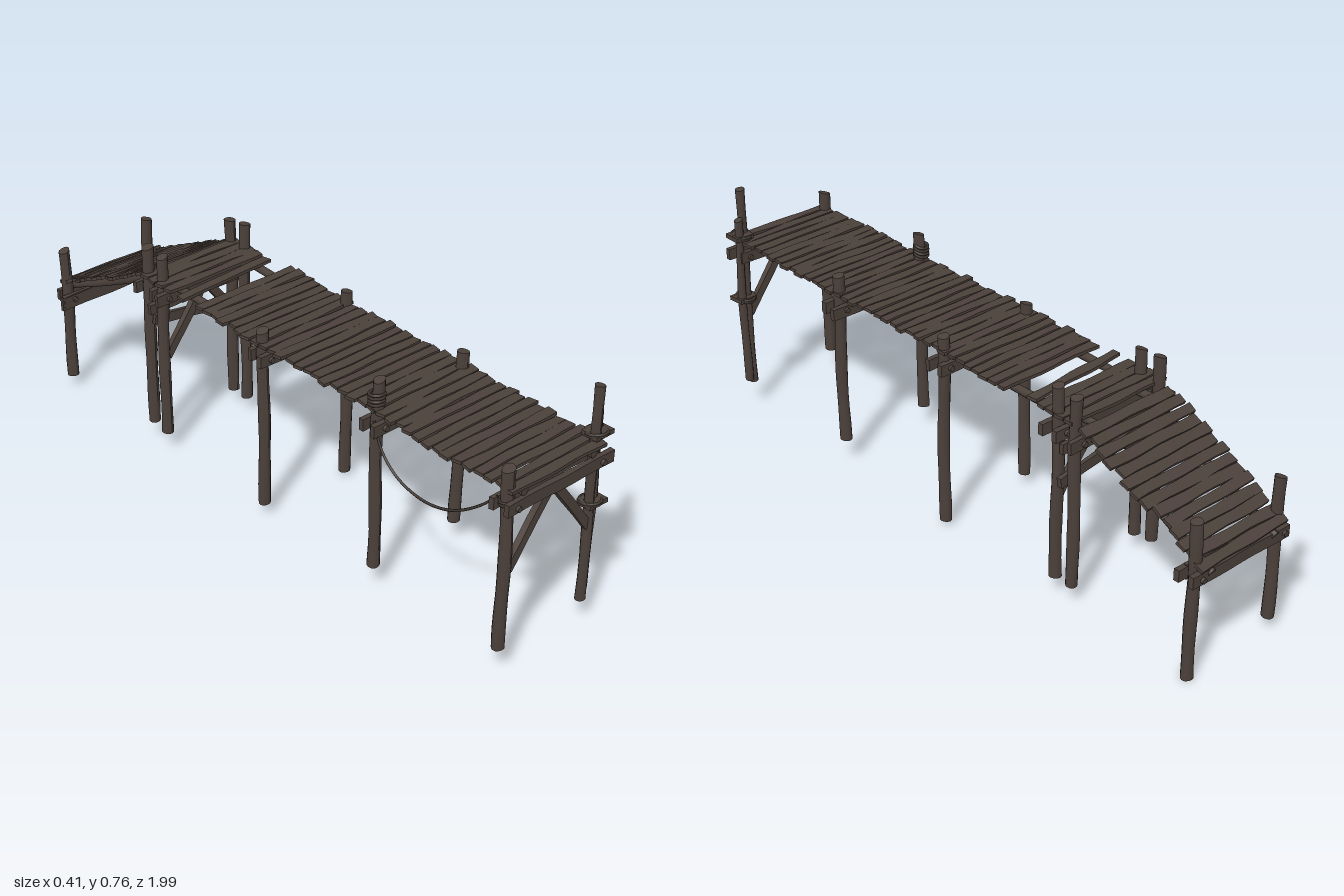
import * as THREE from 'three';

const wood = new THREE.MeshStandardMaterial({ color: 0x4b403a });
wood.name = 'weatheredWood';
const ropeMat = new THREE.MeshStandardMaterial({ color: 0x3f3630 });
ropeMat.name = 'oldRope';

let seed = 7;
const rand = () => (seed = (seed * 16807) % 2147483647) / 2147483647;
const jit = (a) => (rand() * 2 - 1) * a;
const V = (x, y, z) => new THREE.Vector3(x, y, z);

export function createModel() {
  const model = new THREE.Group();
  model.name = 'pier';

  const add = (geo, mat, name, parent = model) => {
    const m = new THREE.Mesh(geo, mat);
    m.name = name;
    parent.add(m);
    return m;
  };

  // slightly crooked round log from a to b, its far end cut at a slant
  const log = (name, a, b, r, slant = 0, parent = model) => {
    const len = a.distanceTo(b);
    const geo = new THREE.CylinderGeometry(r * 0.97, r, len, 12, 10);
    const p = geo.attributes.position;
    const s = rand() * 6, t = rand() * 6;
    for (let i = 0; i < p.count; i++) {
      let x = p.getX(i), y = p.getY(i), z = p.getZ(i);
      const th = Math.atan2(z, x);
      const k = 1 + 0.05 * Math.sin(3 * th + s + y * 9) + 0.05 * Math.sin(y * 26 + t);
      if (y > len / 2 - 1e-4) y += x * slant;
      p.setXYZ(i, x * k + 0.002 * Math.sin(y * 11 + s), y, z * k + 0.002 * Math.sin(y * 13 + t));
    }
    geo.computeVertexNormals();
    const m = add(geo, wood, name, parent);
    m.position.copy(a).lerp(b, 0.5);
    m.quaternion.setFromUnitVectors(V(0, 1, 0), b.clone().sub(a).normalize());
    return m;
  };

  // worn board: a box along x with wavering edges
  const board = (name, len, h, d, parent = model, wear = 0.0025) => {
    const geo = new THREE.BoxGeometry(len, h, d, 8, 1, 1);
    const p = geo.attributes.position;
    const s = rand() * 6, t = rand() * 6;
    for (let i = 0; i < p.count; i++) {
      const x = p.getX(i), y = p.getY(i), z = p.getZ(i);
      const side = Math.sign(z);
      p.setXYZ(i, x + Math.sign(x) * (Math.abs(x) > len * 0.49 ? side * wear * Math.sin(s) : 0),
        y + 0.0012 * Math.sin(x * 25 + s + side),
        z + wear * 0.7 * Math.sin(x * 30 + t + side * s));
    }
    geo.computeVertexNormals();
    return add(geo, wood, name, parent);
  };

  // board standing in the xy plane between two points
  const brace = (name, a, b, h, d, parent = model) => {
    const m = board(name, a.distanceTo(b), h, d, parent, 0.001);
    m.position.copy(a).lerp(b, 0.5);
    m.rotation.z = Math.atan2(b.y - a.y, b.x - a.x);
    return m;
  };

  // rope wound around a post
  const coil = (x, y, z, r, turns, pitch) => {
    const pts = [];
    for (let i = 0; i <= turns * 12; i++) {
      const a = (i / 12) * Math.PI * 2;
      pts.push(V(x + r * Math.cos(a), y + (i / 12) * pitch + 0.005 * Math.sin(a), z + r * Math.sin(a)));
    }
    add(new THREE.TubeGeometry(new THREE.CatmullRomCurve3(pts), turns * 20, 0.0045, 6), ropeMat, 'ropeCoil');
  };

  // trestles: z, then bottom and top of the -x and +x posts, and beam height
  const trestles = [
    { z: 0.96, r: [0.08, 0.645], l: [0.08, 0.755], beam: 0.537, braced: true },
    { z: 0.48, r: [0.075, 0.675], l: [0.08, 0.64], beam: 0.54 },
    { z: 0.015, r: [0.04, 0.62], l: [0.015, 0.63], beam: 0.54 },
    { z: -0.45, r: [0.06, 0.665], l: [0.06, 0.67], beam: 0.54, braced: true },
    { z: -0.515, r: [0.07, 0.67], l: [0.06, 0.66], beam: 0.535, single: true },
    { z: -0.95, r: [0.04, 0.49], l: [0, 0.495], beam: 0.33 },
  ];
  for (const t of trestles) {
    const g = new THREE.Group();
    g.name = 'trestle';
    model.add(g);
    const front = t.z > 0.9;
    log('postRight', V(-0.162, t.r[0], t.z), V(-0.162 + jit(0.004), t.r[1], t.z + jit(0.004)), 0.018, 0.3, g);
    log('postLeft', V(0.154, t.l[0], t.z), V(0.154 + jit(0.003), t.l[1], t.z + jit(0.004)), front ? 0.0145 : 0.018, -0.15, g);
    for (const s of t.single ? [-1] : [1, -1]) {
      const b = board('crossBeam', 0.385 + jit(0.015), 0.036, 0.016, g, 0.001);
      b.position.set(jit(0.006), t.beam + jit(0.004), t.z + s * 0.025);
      b.rotation.z = jit(0.015);
      for (const x of [-0.16, 0.155]) {
        const bolt = add(new THREE.CylinderGeometry(0.008, 0.009, 0.01, 10), wood, 'bolt', g);
        bolt.rotation.x = s * Math.PI / 2;
        bolt.position.set(x, t.beam, t.z + s * 0.036);
      }
    }
    if (t.braced) {
      for (const s of [-1, 1])
        brace('diagonalBrace', V(s * 0.004, t.beam - 0.012, t.z), V(s * 0.152, 0.325, t.z), 0.026, 0.018, g);
    }
  }

  // extra boards on the rear trestles and the low ramp beam
  brace('tieBeam', V(-0.19, 0.487, -0.478), V(0.17, 0.493, -0.478), 0.032, 0.014);
  brace('slippedBeam', V(-0.17, 0.446, -0.483), V(0.18, 0.392, -0.483), 0.032, 0.014);
  brace('rampEndBeam', V(-0.205, 0.322, -0.925), V(0.16, 0.328, -0.925), 0.045, 0.012);

  // second post lashed to the front left corner
  log('lashedPost', V(0.18, 0.1, 0.945), V(0.182, 0.665, 0.945), 0.013, -0.3);
  for (const y of [0.385, 0.6]) {
    const lash = board('lashingBoard', 0.065, 0.014, 0.055);
    lash.position.set(0.17, y + 0.005, 0.955);
    coil(0.167, y, 0.953, 0.03, 2, 0.006);
  }
  coil(-0.162, 0.6, 0.48, 0.021, 4, 0.01);
  coil(-0.162, 0.535, 0.96, 0.021, 2, 0.008);

  // stringer logs, side by side from bay to bay
  const bays = [[0.985, 0.44], [0.52, -0.03], [0.06, -0.49], [-0.4, -0.54]];
  bays.forEach(([z0, z1], i) => {
    for (const s of [-1, 1]) {
      const x = s * (i % 2 ? 0.105 : 0.129) - 0.003;
      log('stringer', V(x, 0.57, z0), V(x, 0.567, z1), 0.0125);
    }
  });
  for (const s of [-1, 1])
    log('rampStringer', V(s * 0.12, 0.56, -0.515), V(s * 0.12, 0.338, -0.985), 0.0125);

  // deck planks, with a gap near the rear bridged by one loose plank
  const deck = new THREE.Group();
  deck.name = 'deck';
  model.add(deck);
  const pitch = 0.036;
  for (let z = 0.975; z > -0.535; z -= pitch) {
    if (z < -0.28 && z > -0.375) continue;
    const p = board('deckPlank', 0.355 + jit(0.012), 0.01, 0.0315 + jit(0.0025), deck);
    p.position.set(-0.005 + jit(0.007), 0.586 + jit(0.0015), z);
    p.rotation.set(jit(0.04), jit(0.014), jit(0.006));
  }
  const loose = board('loosePlank', 0.35, 0.01, 0.03, deck);
  loose.position.set(-0.015, 0.587, -0.338);
  loose.rotation.y = 0.07;

  // sloping ramp
  const ramp = new THREE.Group();
  ramp.name = 'ramp';
  ramp.position.set(0, 0.578, -0.535);
  ramp.rotation.x = -Math.atan2(0.222, 0.47);
  model.add(ramp);
  for (let i = 0; i < 14; i++) {
    const p = board('rampPlank', 0.345 - i * 0.001 + jit(0.014), 0.01, 0.032 + jit(0.002), ramp);
    p.position.set(-0.005 + jit(0.01), jit(0.002), -0.018 - i * pitch);
    p.rotation.set(jit(0.05), jit(0.02), jit(0.008));
  }

  // slack rope between the two front posts on the right
  const sag = new THREE.CatmullRomCurve3([
    V(-0.18, 0.56, 0.945), V(-0.183, 0.495, 0.88), V(-0.185, 0.435, 0.79), V(-0.185, 0.411, 0.69),
    V(-0.185, 0.432, 0.59), V(-0.183, 0.485, 0.525), V(-0.18, 0.56, 0.49),
  ]);
  add(new THREE.TubeGeometry(sag, 40, 0.004, 6), ropeMat, 'hangingRope');

  return model;
}
